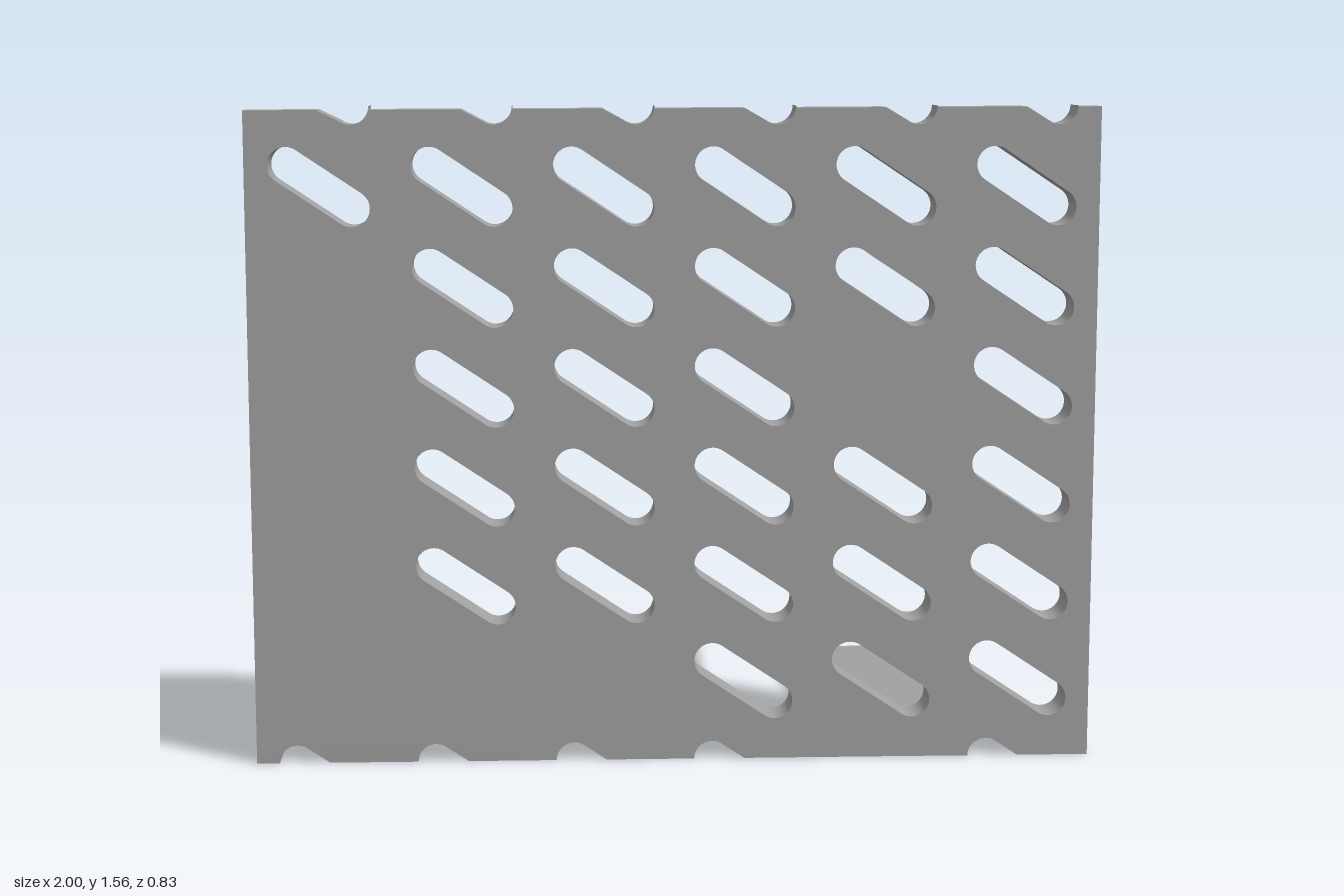
import * as THREE from 'three';

export function createModel() {
  const group = new THREE.Group();
  const grey = new THREE.MeshStandardMaterial({ color: 0xa0a0a0 });
  grey.name = 'grey';

  const R = 0.043;                          // slot end radius
  const DX = 0.075, DY = 0.05;              // half length of the slanted slot axis
  const NORMAL = Math.atan2(DX, DY);        // angle of the slot's upper side normal
  const RUN = R / Math.cos(Math.PI / 2 - NORMAL) * Math.hypot(DX, DY) / DY
    * Math.sin(NORMAL);                     // where a slot side meets its axis height
  const colX = (i) => -0.828 + 0.331 * i;
  const rowY = (j) => 1.375 - 0.2368 * j;
  const topY = (x) => 1.556 + 0.004 * x;

  // Panel outline with half slots cut by the lower and upper edges
  const panel = new THREE.Shape();
  panel.moveTo(-1, 0);
  for (const i of [0, 1, 2, 3, 5]) {
    const x = colX(i) - DX;
    panel.lineTo(x - R, 0);
    panel.absarc(x, 0, R, Math.PI, NORMAL, true);
    panel.lineTo(x + RUN, 0);
  }
  panel.lineTo(1, 0);
  panel.lineTo(1, topY(1));
  for (let i = 5; i >= 0; i--) {
    const x = colX(i) + DX;
    panel.lineTo(x + R, topY(x));
    panel.absarc(x, 1.562, R, 0, NORMAL - Math.PI, true);
    panel.lineTo(x - RUN, topY(x));
  }
  panel.lineTo(-1, topY(-1));
  panel.closePath();

  // Full slots, listed by row
  const rows = [
    [0, 1, 2, 3, 4, 5], [1, 2, 3, 4, 5], [1, 2, 3, 5],
    [1, 2, 3, 4, 5], [1, 2, 3, 4, 5], [3, 4, 5],
  ];
  rows.forEach((cols, j) => cols.forEach((i) => {
    const x = colX(i), y = rowY(j);
    const slot = new THREE.Path();
    slot.absarc(x - DX, y + DY, R, NORMAL, NORMAL + Math.PI, false);
    slot.absarc(x + DX, y - DY, R, NORMAL + Math.PI, NORMAL + 2 * Math.PI, false);
    slot.closePath();
    panel.holes.push(slot);
  }));

  const panelGeometry = new THREE.ExtrudeGeometry(panel, {
    depth: 0.097, bevelEnabled: false, curveSegments: 16,
  });
  panelGeometry.translate(0, 0, 0.318);
  const panelMesh = new THREE.Mesh(panelGeometry, grey);
  panelMesh.name = 'slottedPanel';
  group.add(panelMesh);

  // Box given by its limits on each axis
  const block = (name, [x0, x1], [y0, y1], [z0, z1]) => {
    const mesh = new THREE.Mesh(new THREE.BoxGeometry(x1 - x0, y1 - y0, z1 - z0), grey);
    mesh.position.set((x0 + x1) / 2, (y0 + y1) / 2, (z0 + z1) / 2);
    mesh.name = name;
    group.add(mesh);
  };

  // Two shelves reaching back
  block('upperShelf', [0.375, 0.668], [0.83, 0.88], [-0.415, 0.318]);
  block('lowerShelf', [0.375, 0.668], [0.027, 0.077], [-0.415, 0.318]);

  // Open holder: side rails, floor and retaining lip
  block('rightRail', [-0.94, -0.89], [0.05, 1.2], [0.222, 0.318]);
  block('leftRail', [-0.018, 0.032], [0.05, 1.2], [0.222, 0.318]);
  block('holderFloor', [-0.89, -0.018], [0.05, 0.1], [0.222, 0.318]);
  block('holderLip', [-0.94, 0.032], [0.05, 0.2], [0.173, 0.222]);

  return group;
}
